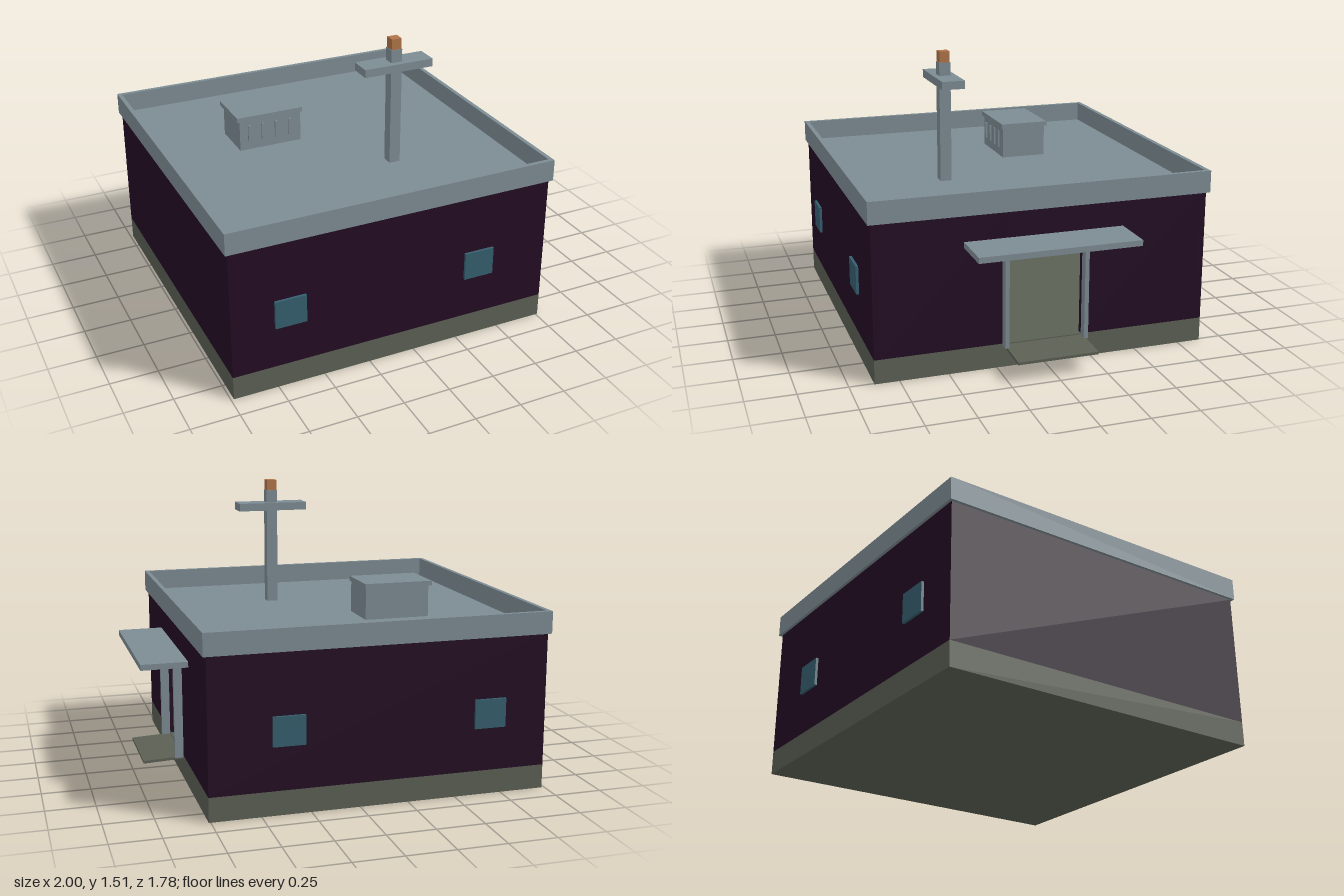
import * as THREE from 'three';

const material = (name, color) => {
  const m = new THREE.MeshStandardMaterial({ color });
  m.name = name;
  return m;
};

export function createModel() {
  const slate = material('slate grey', 0x7d8c93);
  const plum = material('dark plum', 0x230d23);
  const olive = material('olive stone', 0x5b6054);
  const teal = material('teal glass', 0x355f6e);
  const copper = material('copper', 0xb07448);

  const model = new THREE.Group();
  model.name = 'building';

  // Box given by its extents on each axis
  const box = (name, mat, [x0, x1], [y0, y1], [z0, z1], parent = model) => {
    const mesh = new THREE.Mesh(new THREE.BoxGeometry(x1 - x0, y1 - y0, z1 - z0), mat);
    mesh.position.set((x0 + x1) / 2, (y0 + y1) / 2, (z0 + z1) / 2);
    mesh.name = name;
    parent.add(mesh);
    return mesh;
  };
  const group = (name) => {
    const g = new THREE.Group();
    g.name = name;
    model.add(g);
    return g;
  };

  const X0 = -0.985, X1 = 0.76, Z = 0.875, T = 0.03;
  const FLOOR = 0.125, EAVE = 0.815, ROOF = 0.822;

  // Foundation, whose top is the floor of the hollow room
  box('foundation', olive, [X0, X1], [0, FLOOR], [-Z, Z]);

  // Walls, with a doorway on the +x side
  const walls = group('walls');
  const wallY = [FLOOR, EAVE];
  box('rightWall', plum, [X0, X0 + T], wallY, [-Z, Z], walls);
  for (const s of [-1, 1]) {
    const span = (a, b) => (s > 0 ? [a, b] : [-b, -a]);
    box(s > 0 ? 'frontWall' : 'backWall', plum, [X0 + T, X1], wallY, span(Z - T, Z), walls);
    box('doorSideWall', plum, [X1 - T, X1], wallY, span(0.2, Z - T), walls);

    // Windows on the front and back
    for (const x of [-0.68, 0.363]) {
      box('window', teal, [x - 0.082, x + 0.082], [0.35, 0.5], span(Z - 0.005, 0.889));
    }
  }
  box('doorHeader', plum, [X1 - T, X1], [0.61, EAVE], [-0.2, 0.2], walls);

  // Roof deck and the parapet ring around it
  box('roofDeck', slate, [X0 + 0.005, X1 - 0.005], [0.795, ROOF], [-Z + 0.005, Z - 0.005]);
  const rectangle = (path, x0, x1, z) => {
    path.moveTo(x0, -z);
    path.lineTo(x1, -z);
    path.lineTo(x1, z);
    path.lineTo(x0, z);
    path.closePath();
    return path;
  };
  const ring = rectangle(new THREE.Shape(), -1, 0.777, 0.89);
  ring.holes.push(rectangle(new THREE.Path(), -0.977, 0.754, 0.866));
  const parapet = new THREE.Mesh(
    new THREE.ExtrudeGeometry(ring, { depth: 0.115, bevelEnabled: false }).rotateX(-Math.PI / 2), slate);
  parapet.position.y = EAVE;
  parapet.name = 'parapet';
  model.add(parapet);

  // Door frame
  const door = group('doorway');
  for (const z of [-0.21, 0.21]) {
    box('doorPost', slate, [X1, 0.805], [0.115, 0.63], [z - 0.011, z + 0.011], door);
  }
  box('lintel', slate, [X1, 0.805], [0.607, 0.63], [-0.2, 0.2], door);
  box('lintelStrip', copper, [0.805, 0.81], [0.609, 0.625], [-0.2, 0.2], door);

  // Canopy with a copper soffit
  box('canopy', slate, [X1, 1], [0.65, 0.68], [-0.417, 0.417], door);
  box('canopySoffit', copper, [0.77, 0.965], [0.641, 0.65], [-0.38, 0.38], door);

  // Gently sloping ramp
  const ramp = box('ramp', olive, [0.755, 0.97], [0.101, 0.115], [-0.21, 0.21], door);
  ramp.rotation.z = -0.04;

  // Rooftop vent with raised slats
  const vent = group('roofVent');
  box('ventBody', slate, [-0.55, -0.2], [ROOF, 0.99], [-0.345, -0.1], vent);
  box('ventCap', slate, [-0.565, -0.193], [0.99, 1.015], [-0.357, -0.092], vent);
  for (let i = 0; i < 4; i++) {
    const x = -0.497 + i * 0.077;
    box('ventSlat', slate, [x - 0.007, x + 0.007], [0.87, 0.962], [-0.1, -0.09], vent);
  }

  // Mast with crossbar and copper tip
  const mast = group('mast');
  box('mastPole', slate, [0.107, 0.167], [ROOF, 1.45], [0.307, 0.367], mast);
  box('mastCrossbar', slate, [-0.054, 0.328], [1.34, 1.382], [0.277, 0.397], mast);
  box('mastTip', copper, [0.11, 0.164], [1.45, 1.507], [0.31, 0.364], mast);

  return model;
}
